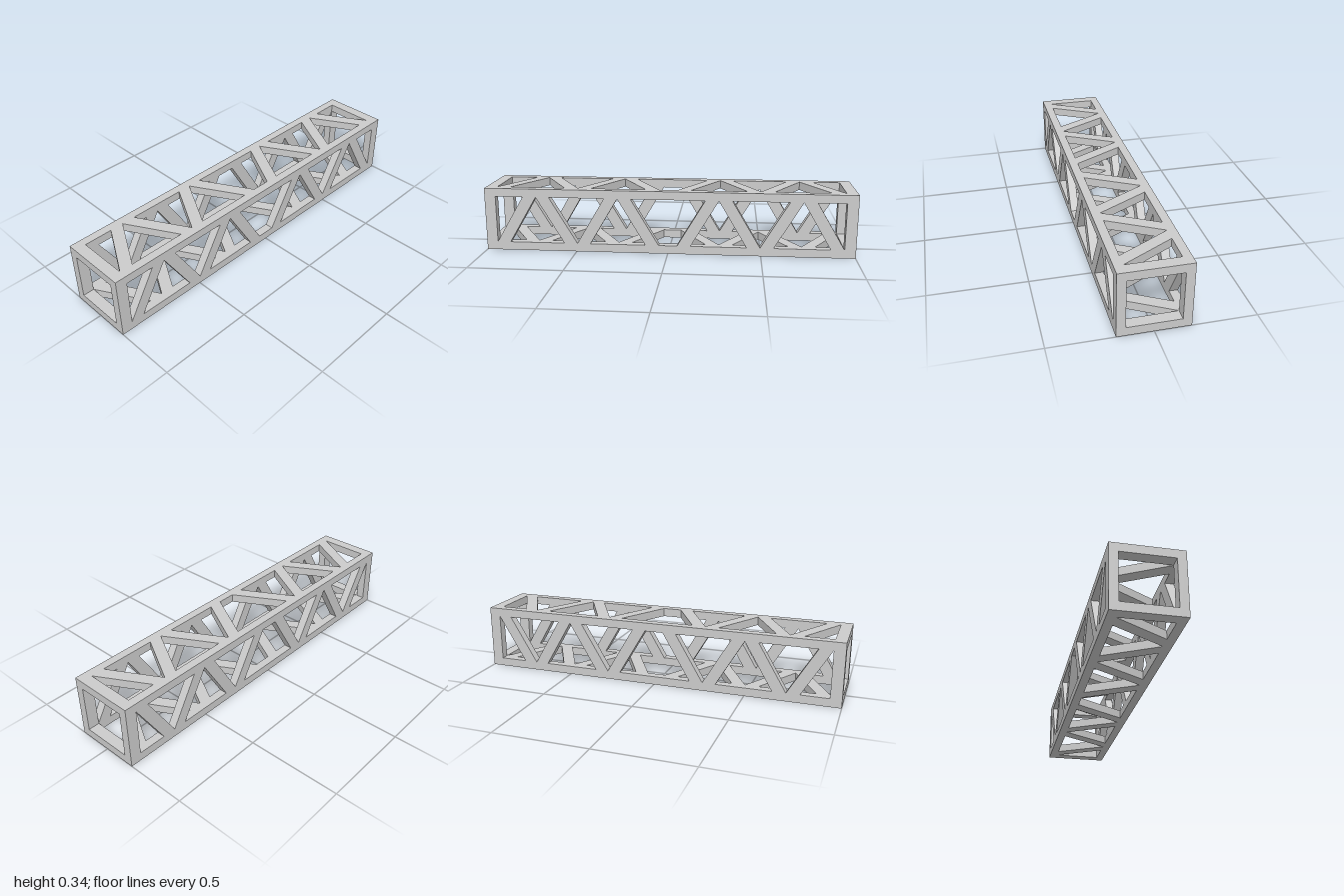
import * as THREE from 'three';

const WIDTH = 0.358, HEIGHT = 0.344, LENGTH = 2;
const RAIL = 0.045;      // rail and panel thickness
const END = 0.94;        // z where the end crossbars begin
const MID = 0.05;        // half of the short edge of the middle opening
const BAR = 0.072;       // size of a diagonal measured along z
const PITCH = (END - MID) / 4;

// Flat lattice panel lying in x-z; the first diagonal starts at the corner on side s.
function panelGeometry(width, s) {
  const w = width / 2, l = LENGTH / 2, u = s * (w - RAIL);
  const shape = new THREE.Shape([[-w, -l], [w, -l], [w, l], [-w, l]].map(p => new THREE.Vector2(...p)));
  const cut = pts => shape.holes.push(new THREE.Path(pts.map(p => new THREE.Vector2(...p))));

  for (const m of [1, -1]) {
    // triangle beside the end crossbar
    cut([[u, m * END], [-u, m * END], [-u, m * (END - PITCH + BAR)]]);
    // triangles between neighbouring diagonals
    for (let i = 1; i < 4; i++) {
      const a = i % 2 ? u : -u, node = END - i * PITCH, d = PITCH - BAR;
      cut([[a, m * (node + d)], [-a, m * node], [a, m * (node - d)]]);
    }
  }
  // trapezoid in the middle
  const far = MID + PITCH - BAR;
  cut([[-u, far], [u, MID], [u, -MID], [-u, -far]]);

  return new THREE.ExtrudeGeometry(shape, { depth: RAIL, bevelEnabled: false }).rotateX(-Math.PI / 2);
}

export function createModel() {
  const group = new THREE.Group();
  group.name = 'boxTruss';
  const material = new THREE.MeshStandardMaterial({ color: 0xcccccc, flatShading: true });
  const add = (name, geometry, x, y) => {
    const mesh = new THREE.Mesh(geometry, material);
    mesh.name = name;
    mesh.position.set(x, y, 0);
    group.add(mesh);
  };

  // opposite panels have opposite diagonals
  add('topLattice', panelGeometry(WIDTH, 1), 0, HEIGHT - RAIL);
  add('bottomLattice', panelGeometry(WIDTH, -1), 0, 0);
  add('leftLattice', panelGeometry(HEIGHT, -1).rotateZ(Math.PI / 2), WIDTH / 2, HEIGHT / 2);
  add('rightLattice', panelGeometry(HEIGHT, 1).rotateZ(Math.PI / 2), -WIDTH / 2 + RAIL, HEIGHT / 2);
  return group;
}
